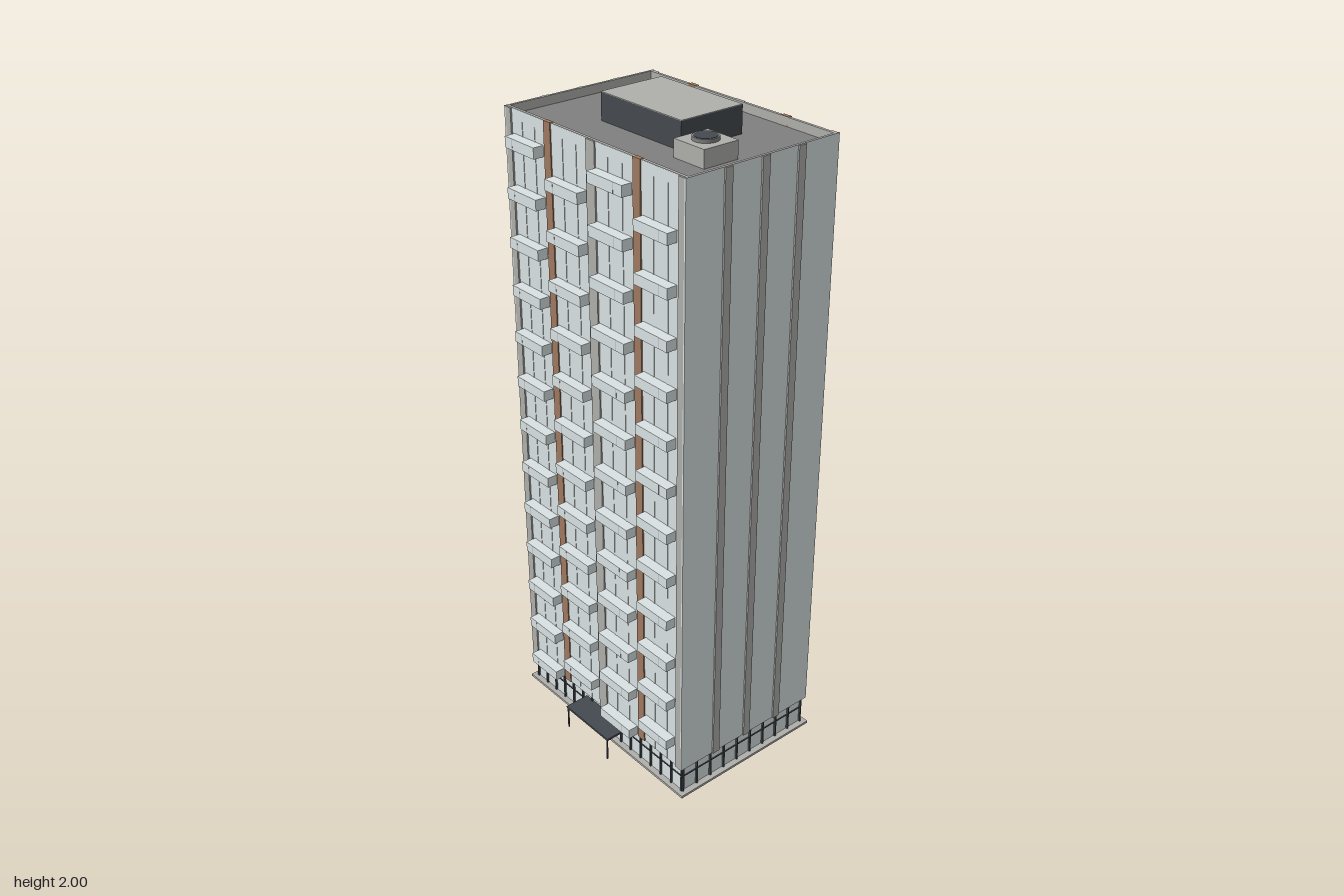
import * as THREE from 'three';

const mat = (name, color) => {
  const m = new THREE.MeshStandardMaterial({ color });
  m.name = name;
  return m;
};

export function createModel() {
  const pale = mat('pale cladding', 0xdae2e3);
  const grey = mat('concrete grey', 0xafafac);
  const brown = mat('brown strip', 0xa07a61);
  const roofGrey = mat('roof grey', 0x808080);
  const dark = mat('dark metal', 0x454a50);

  const model = new THREE.Group();
  model.name = 'apartmentTower';

  // Box given by its limits on each axis
  const box = (parent, name, material, x0, x1, y0, y1, z0, z1) => {
    const mesh = new THREE.Mesh(new THREE.BoxGeometry(x1 - x0, y1 - y0, z1 - z0), material);
    mesh.position.set((x0 + x1) / 2, (y0 + y1) / 2, (z0 + z1) / 2);
    mesh.name = name;
    parent.add(mesh);
  };

  // The tower is centred a little behind the origin because of the canopy
  const tower = new THREE.Group();
  tower.name = 'tower';
  tower.position.z = -0.0215;
  model.add(tower);
  const BOTTOM = 0.1, TOP = 1.945, ROOF = 1.92;

  // Plinth and glazed lobby
  box(tower, 'plinth', grey, -0.38, 0.38, 0, 0.008, -0.265, 0.265);
  box(tower, 'lobbyGlass', pale, -0.36, 0.36, 0.008, BOTTOM, -0.246, 0.246);
  const m = 0.0027;
  for (const s of [-1, 1]) {
    for (let i = 0; i <= 15; i++) {
      const x = -0.36 + (0.72 * i) / 15;
      box(tower, 'lobbyMullion', dark, x - m, x + m, 0.008, BOTTOM, s * 0.248 - 0.004, s * 0.248 + 0.004);
    }
    for (let i = 0; i <= 9; i++) {
      const z = -0.246 + (0.492 * i) / 9;
      box(tower, 'lobbyMullion', dark, s * 0.362 - 0.004, s * 0.362 + 0.004, 0.008, BOTTOM, z - m, z + m);
    }
    box(tower, 'lobbyTransom', dark, -0.36, 0.36, 0.062, 0.065, s * 0.247 - 0.002, s * 0.247 + 0.002);
    box(tower, 'lobbyTransom', dark, s * 0.361 - 0.002, s * 0.361 + 0.002, 0.062, 0.065, -0.246, 0.246);
  }

  // Core, roof deck and parapet
  box(tower, 'core', grey, -0.366, 0.366, BOTTOM, ROOF - 0.005, -0.25, 0.25);
  box(tower, 'roofDeck', roofGrey, -0.363, 0.363, ROOF - 0.005, ROOF, -0.2465, 0.2465);
  for (const s of [-1, 1]) {
    const [z0, z1] = s > 0 ? [0.2465, 0.2555] : [-0.2555, -0.2465];
    box(tower, 'parapet', grey, -0.368, 0.368, ROOF - 0.01, TOP + 0.001, z0, z1);
    const [x0, x1] = s > 0 ? [0.363, 0.368] : [-0.368, -0.363];
    box(tower, 'parapet', grey, x0, x1, ROOF - 0.01, TOP + 0.001, -0.2465, 0.2465);
  }

  // Long facade, reused at the back by a half turn
  const bays = [
    { wall: [-0.345, -0.199], deck: [-0.335, -0.206], rows: 13, first: 1.86 },
    { wall: [-0.17, -0.018], deck: [-0.163, -0.022], rows: 12, first: 1.787 },
    { wall: [0.018, 0.17], deck: [0.021, 0.162], rows: 13, first: 1.86 },
    { wall: [0.199, 0.345], deck: [0.205, 0.335], rows: 12, first: 1.787 },
  ];
  for (const turn of [0, Math.PI]) {
    const facade = new THREE.Group();
    facade.name = turn ? 'backFacade' : 'frontFacade';
    facade.rotation.y = turn;
    tower.add(facade);
    for (const { wall: [a, b], deck: [c, d], rows, first } of bays) {
      box(facade, 'wallPanel', pale, a, b, BOTTOM, TOP, 0.249, 0.256);
      for (const t of [0.32, 0.7]) {
        const x = a + (b - a) * t;
        box(facade, 'windowRib', pale, x - 0.0015, x + 0.0015, BOTTOM, TOP - 0.03, 0.255, 0.2575);
      }
      // Balconies with a joint in the front panel
      const split = a + b < 0 ? c + (d - c) * 0.25 : d - (d - c) * 0.25;
      for (let i = 0; i < rows; i++) {
        const y = first - i * 0.1452;
        box(facade, 'balcony', pale, c, d, y - 0.016, y + 0.016, 0.255, 0.289);
        box(facade, 'balconyJoint', grey, split - 0.001, split + 0.001, y - 0.016, y + 0.016, 0.2885, 0.2893);
      }
    }
    for (const s of [-1, 1]) {
      box(facade, 'brownStrip', brown, s * 0.184 - 0.0145, s * 0.184 + 0.0145, BOTTOM, TOP + 0.002, 0.2465, 0.2595);
      box(facade, 'cornerPier', grey, s * 0.357 - 0.013, s * 0.357 + 0.013, BOTTOM, TOP, 0.2465, 0.261);
    }
    box(facade, 'centrePier', grey, -0.018, 0.018, BOTTOM, TOP, 0.247, 0.2605);
  }

  // Short sides: pale cladding with three projecting grey fins
  for (const s of [-1, 1]) {
    const [x0, x1] = s > 0 ? [0.366, 0.371] : [-0.371, -0.366];
    box(tower, 'sidePanel', pale, x0, x1, BOTTOM, TOP, -0.261, 0.261);
    box(tower, 'sideCoping', grey, x0, x1, TOP, TOP + 0.001, -0.261, 0.261);
    for (const z of [-0.125, 0, 0.125]) {
      box(tower, 'sideFin', grey, s * 0.371 - 0.005, s * 0.371 + 0.005, BOTTOM, TOP, z - 0.0125, z + 0.0125);
    }
  }

  // Plant room with a lighter roof
  box(model, 'plantRoom', dark, -0.163, 0.161, ROOF, 1.998, -0.138, 0.072);
  box(model, 'plantRoomRoof', grey, -0.163, 0.161, 1.998, 2, -0.138, 0.072);

  // Rooftop fan unit
  box(model, 'fanHousing', grey, 0.184, 0.298, ROOF, 1.97, 0.003, 0.117);
  const disc = (name, material, r, y0, y1) => {
    const mesh = new THREE.Mesh(new THREE.CylinderGeometry(r, r, y1 - y0, 24), material);
    mesh.position.set(0.24, (y0 + y1) / 2, 0.06);
    mesh.name = name;
    model.add(mesh);
  };
  disc('fanRing', roofGrey, 0.036, 1.97, 1.98);
  disc('fanOpening', dark, 0.031, 1.98, 1.981);

  // Entrance canopy, posts and doors
  box(model, 'canopy', dark, -0.103, 0.103, 0.074, 0.081, 0.222, 0.306);
  for (const s of [-1, 1]) {
    box(model, 'canopyPost', dark, s * 0.098 - 0.002, s * 0.098 + 0.002, 0, 0.075, 0.301, 0.305);
  }
  box(model, 'doorHead', dark, -0.04, 0.04, 0.058, 0.063, 0.223, 0.231);
  box(model, 'doorJoint', dark, -0.003, 0.003, 0.008, 0.06, 0.223, 0.231);

  return model;
}
